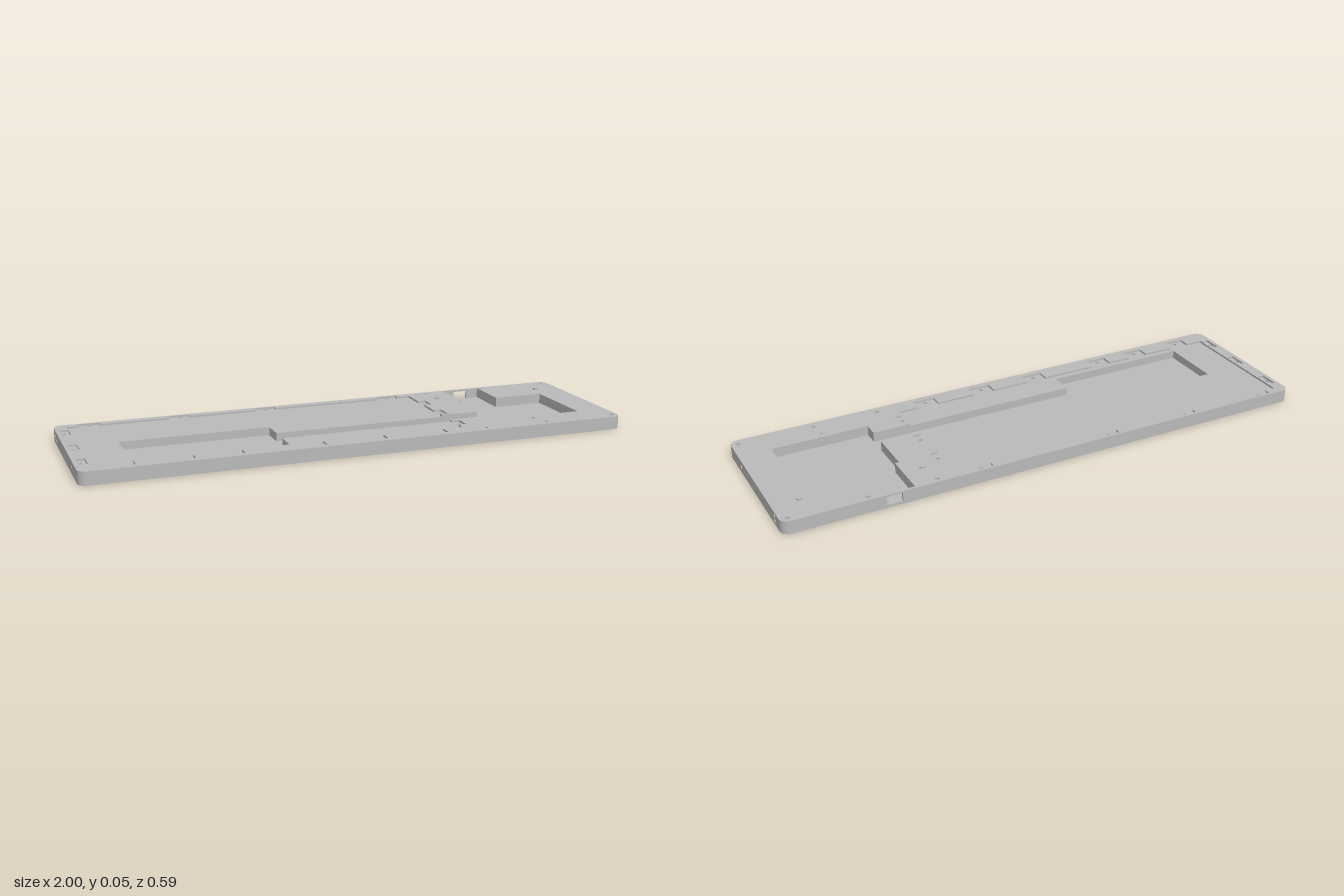
import * as THREE from 'three';

const HEIGHT = 0.048, LEDGE = 0.041, FLOOR = 0.011;
const HX = 1, HZ = 0.293, CORNER = 0.03, CAP = 0.012, CAP_Z = 0.26;

// screw positions along each side of the shallow recess
const FRONT = [-0.85, -0.65, -0.48, -0.19, 0.035, 0.265];
const BACK = [-0.875, -0.54, -0.21, 0.29];
const LEFT = [-0.19, 0.005, 0.18];
const RIGHT = [-0.14, 0.005, 0.165];

const toPoints = list => list.map(([x, z]) => new THREE.Vector2(x, z));

function circle(x, y, r) {
  const path = new THREE.Path();
  path.absarc(x, y, r, 0, Math.PI * 2, true);
  return path;
}

// rounded rectangle with a notch at each end for the end plates;
// "slot" cuts through the back edge into the pocket
function outline(slotPoints = []) {
  const s = new THREE.Shape();
  const cx = HX - CORNER, cz = HZ - CORNER, nx = HX - CAP;
  s.moveTo(-cx, -HZ);
  slotPoints.forEach(([x, z]) => s.lineTo(x, z));
  s.lineTo(cx, -HZ);
  s.absarc(cx, -cz, CORNER, -Math.PI / 2, 0, false);
  s.lineTo(HX, -CAP_Z);
  s.lineTo(nx, -CAP_Z);
  s.lineTo(nx, CAP_Z);
  s.lineTo(HX, CAP_Z);
  s.absarc(cx, cz, CORNER, 0, Math.PI / 2, false);
  s.absarc(-cx, cz, CORNER, Math.PI / 2, Math.PI, false);
  s.lineTo(-HX, CAP_Z);
  s.lineTo(-nx, CAP_Z);
  s.lineTo(-nx, -CAP_Z);
  s.lineTo(-HX, -CAP_Z);
  s.absarc(-cx, -cz, CORNER, Math.PI, Math.PI * 1.5, false);
  return s;
}

// one side of the recess, stepping outwards around every screw
function tabbedEdge(positions, base, out, half, alongX, direction) {
  const sorted = [...positions].sort((a, b) => (a - b) * direction);
  return sorted.flatMap(p => {
    const a = p - half * direction, b = p + half * direction;
    return [[a, base], [a, out], [b, out], [b, base]];
  }).map(([p, q]) => (alongX ? [p, q] : [q, p]));
}

// horizontal layer between two heights
function layer(shape, bottom, top) {
  const g = new THREE.ExtrudeGeometry(shape, { depth: top - bottom, bevelEnabled: false, curveSegments: 12 });
  g.rotateX(Math.PI / 2);
  g.translate(0, top, 0);
  return g;
}

export function createModel() {
  const group = new THREE.Group();
  const grey = new THREE.MeshStandardMaterial({ color: 0xbababa });
  grey.name = 'light grey';
  const add = (name, geometry) => {
    const mesh = new THREE.Mesh(geometry, grey);
    mesh.name = name;
    group.add(mesh);
    return mesh;
  };

  // solid floor
  add('floor', layer(outline(), 0, FLOOR));

  // right-hand room of the deep pocket, from the channel round to the channel again
  const room = [
    [0.525, 0.05], [0.525, -0.113], [0.54, -0.113], [0.54, -0.284], [0.69, -0.284],
    [0.69, -0.113], [0.882, -0.113], [0.882, 0.176], [0.525, 0.176], [0.525, 0.12],
  ];
  // left-hand room of the deep pocket
  const leftRoom = [[-0.265, 0.12], [-0.265, 0.205], [-0.812, 0.205], [-0.812, -0.033], [-0.265, -0.033], [-0.265, 0.05]];

  const recessScrews = [
    ...FRONT.map(x => [x, 0.256]), ...BACK.map(x => [x, -0.272]),
    ...LEFT.map(z => [-0.977, z]), ...RIGHT.map(z => [0.395, z]),
  ];
  const rimScrews = [
    [0.455, -0.272], [0.7, -0.272], [0.975, -0.272],
    [0.455, 0.263], [0.7, 0.263], [0.975, 0.263],
  ];

  // middle layer: deep pocket with the cable port through the back wall
  const port = [0.587, 0.643];
  const middle = outline([
    [port[0], -HZ], [port[0], -0.284], ...[...room.slice(0, 4)].reverse(),
    ...[...leftRoom].reverse(), ...[...room.slice(4)].reverse(),
    [port[1], -0.284], [port[1], -HZ],
  ]);
  [...recessScrews, ...rimScrews].forEach(([x, z]) => middle.holes.push(circle(x, z, 0.008)));
  add('pocketWalls', layer(middle, FLOOR, LEDGE));

  // upper rim: opening for the cover plate joined to the right-hand room
  const rim = outline();
  rim.holes.push(new THREE.Path(toPoints([
    [-0.955, 0.225], [-0.955, -0.262],
    ...tabbedEdge(BACK, -0.262, -0.283, 0.04, true, 1),
    [0.38, -0.262],
    ...tabbedEdge(RIGHT.slice(0, 2), 0.38, 0.41, 0.03, false, 1),
    [0.38, 0.05], ...room, [0.38, 0.12],
    ...tabbedEdge(RIGHT.slice(2), 0.38, 0.41, 0.03, false, 1),
    [0.38, 0.225],
    ...tabbedEdge(FRONT, 0.225, 0.27, 0.04, true, -1),
    [-0.955, 0.225],
    ...tabbedEdge(LEFT, -0.955, -0.985, 0.035, false, -1),
  ])));
  rimScrews.forEach(([x, z]) => rim.holes.push(circle(x, z, 0.008)));
  add('upperRim', layer(rim, LEDGE, HEIGHT));

  // end plates with round sockets
  for (const side of [1, -1]) {
    const s = new THREE.Shape(toPoints([[-CAP_Z, 0], [CAP_Z, 0], [CAP_Z, HEIGHT], [-CAP_Z, HEIGHT]]));
    [[-0.22, 0.035], [-0.22, 0.015], [0.147, 0.025]].forEach(([z, y]) => s.holes.push(circle(-z, y, 0.008)));
    const g = new THREE.ExtrudeGeometry(s, { depth: CAP, bevelEnabled: false, curveSegments: 12 });
    g.rotateY(Math.PI / 2);
    g.translate(side > 0 ? HX - CAP : -HX, 0, 0);
    add(side > 0 ? 'leftEndPlate' : 'rightEndPlate', g);
  }

  // small pins standing on the rim
  [[0.468, -0.182, 0.0545, 0.01], [0.903, -0.182, 0.0545, 0.01], [0.685, 0.204, 0.0515, 0.009]].forEach(([x, z, top, r]) => {
    const pin = add('pin', new THREE.CylinderGeometry(r, r, top - 0.04, 20));
    pin.position.set(x, (top + 0.04) / 2, z);
  });

  return group;
}
